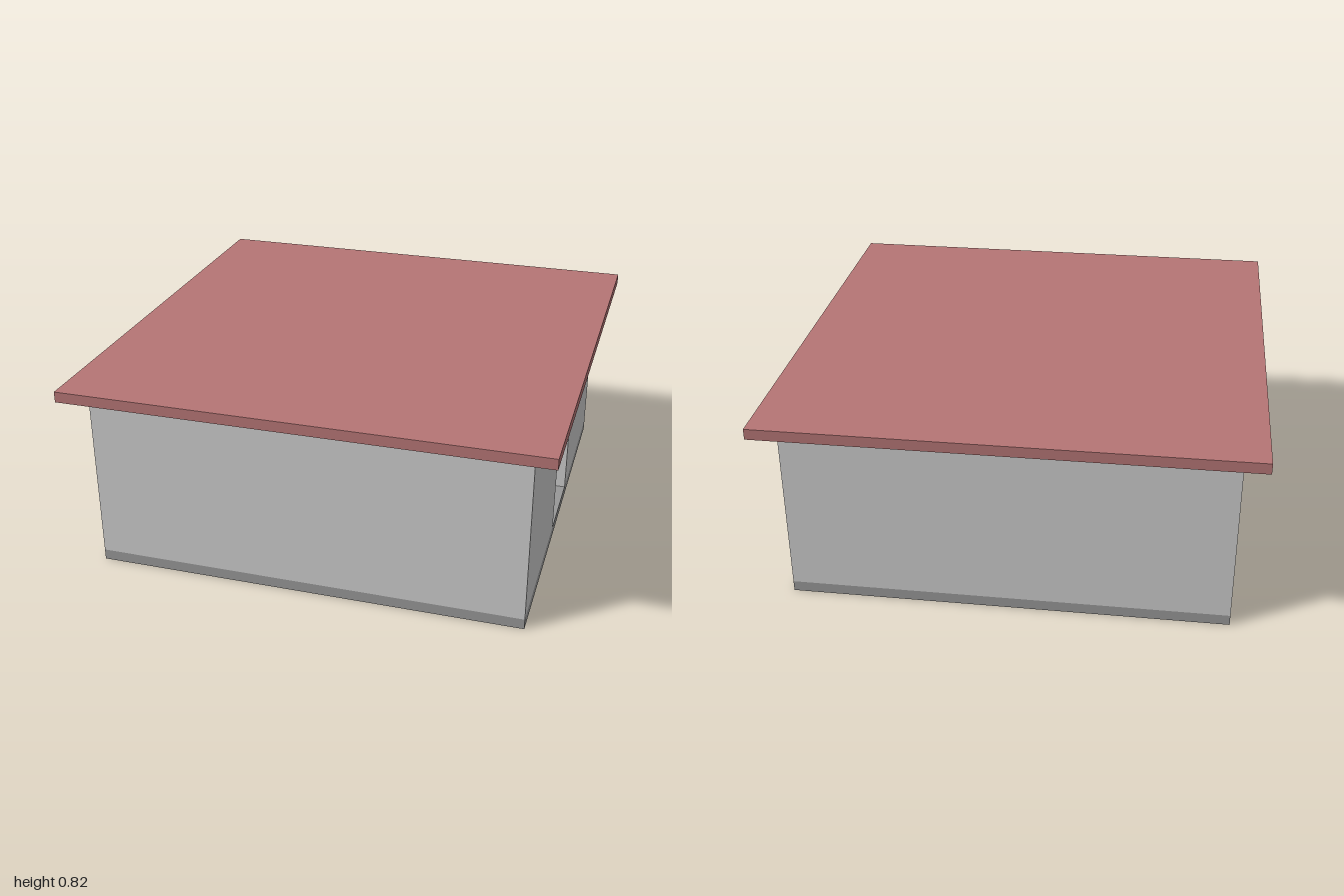
import * as THREE from 'three';

const HALF = 0.905;   // half width of the walls
const T = 0.045;      // thickness of slab, walls and roof
const TOP = 0.775;    // underside of the roof
const DOOR_HALF = 0.185, DOOR_TOP = 0.5;

export function createModel() {
  const group = new THREE.Group();
  const mat = (color) => new THREE.MeshStandardMaterial({ color, flatShading: true });
  const wallMat = mat(0xcccccc), slabMat = mat(0x979797), roofMat = mat(0xb57575);
  const blueMat = mat(0x73b7d0), lavenderMat = mat(0xc6c4d5);

  // Box given by its low and high corners
  function box(name, material, [x0, y0, z0], [x1, y1, z1]) {
    const mesh = new THREE.Mesh(new THREE.BoxGeometry(x1 - x0, y1 - y0, z1 - z0), material);
    mesh.position.set((x0 + x1) / 2, (y0 + y1) / 2, (z0 + z1) / 2);
    mesh.name = name;
    group.add(mesh);
  }

  const inner = HALF - T;

  // Floor slab and flat overhanging roof
  box('floorSlab', slabMat, [-HALF, 0, -HALF], [HALF, T, HALF]);
  box('roof', roofMat, [-1, TOP, -1], [1, 0.82, 1]);

  // Plain outer walls
  box('frontWall', wallMat, [-HALF, T, inner], [HALF, TOP, HALF]);
  box('backWall', wallMat, [-HALF, T, -HALF], [HALF, TOP, -inner]);
  box('rightWall', wallMat, [-HALF, T, -inner], [-inner, TOP, inner]);

  // Wall with the doorway, outlined in (z, y) and extruded along x
  const outline = new THREE.Shape();
  [
    [-inner, T], [-DOOR_HALF, T], [-DOOR_HALF, DOOR_TOP], [DOOR_HALF, DOOR_TOP],
    [DOOR_HALF, T], [inner, T], [inner, TOP], [-inner, TOP],
  ].forEach(([z, y], i) => (i ? outline.lineTo(z, y) : outline.moveTo(z, y)));
  const doorGeo = new THREE.ExtrudeGeometry(outline, { depth: T, bevelEnabled: false });
  doorGeo.rotateY(Math.PI / 2);
  const doorWall = new THREE.Mesh(doorGeo, wallMat);
  doorWall.position.x = inner;
  doorWall.name = 'doorWall';
  group.add(doorWall);

  // Inner partitions: two across the house, one dividing the far rooms
  box('frontPartition', wallMat, [T, T, T], [2 * T, TOP, inner]);
  box('backPartition', lavenderMat, [T, T, -inner], [2 * T, TOP, -T]);
  box('dividingWall', blueMat, [-inner, T, -T], [2 * T, TOP, T]);

  return group;
}
